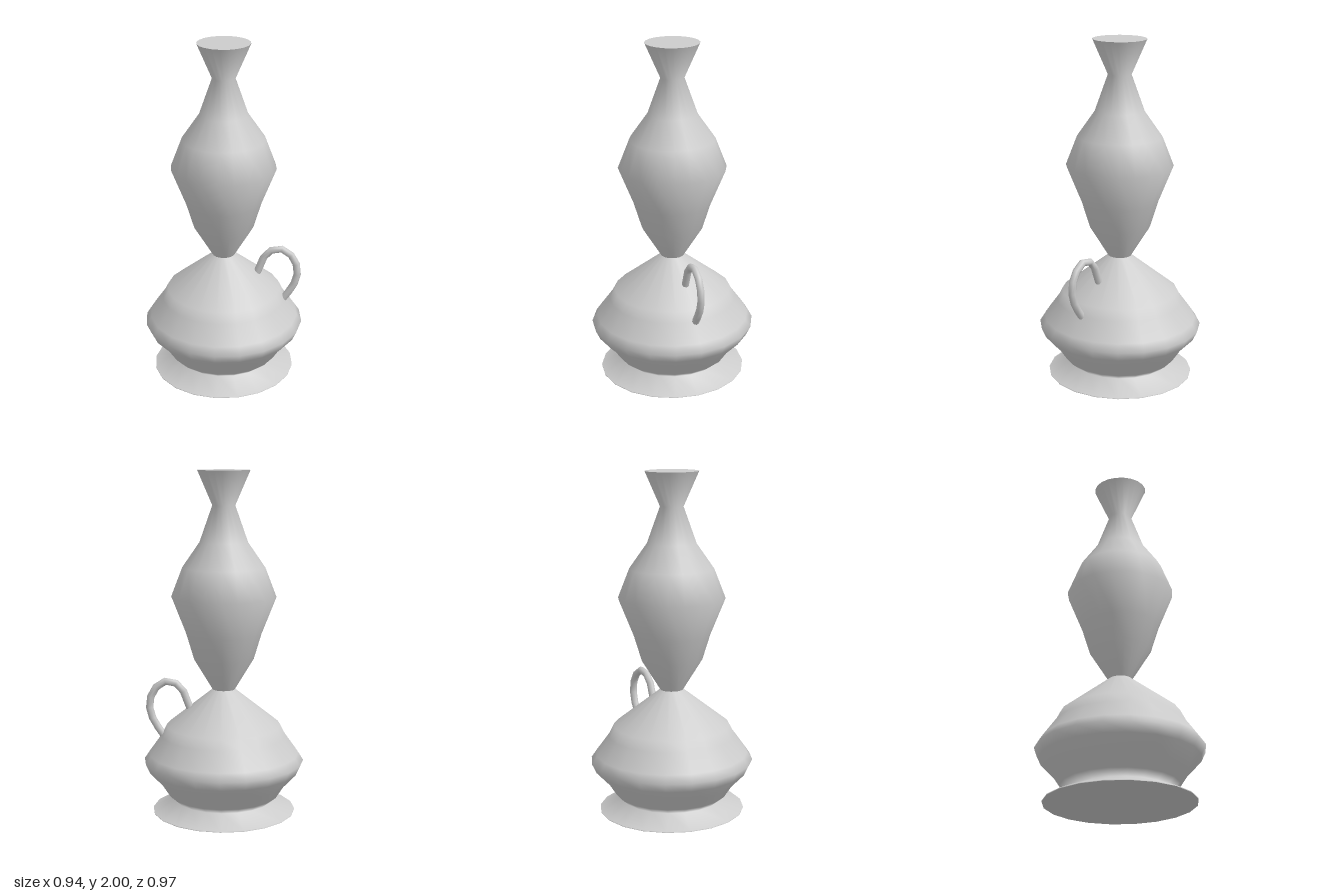
import * as THREE from 'three';

const SIDES = 20;
const DEPTH = 1.03; // slightly oval in plan

export function createModel() {
  const group = new THREE.Group();
  const material = new THREE.MeshStandardMaterial({ color: 0xcccccc });
  const add = (name, geometry) => {
    const mesh = new THREE.Mesh(geometry, material);
    mesh.name = name;
    group.add(mesh);
    return mesh;
  };
  const turned = (name, profile) => {
    const points = profile.map(([r, y]) => new THREE.Vector2(r, y));
    add(name, new THREE.LatheGeometry(points, SIDES)).scale.z = DEPTH;
  };

  // Flared foot and bulging base, up to the pinched waist
  turned('base', [
    [0.42, 0], [0.42, 0.005], [0.285, 0.065], [0.325, 0.10], [0.37, 0.17],
    [0.445, 0.25], [0.47, 0.305], [0.44, 0.35], [0.365, 0.455], [0.335, 0.515], [0.066, 0.73],
  ]);

  // Upper body with its narrow neck and flared mouth
  turned('upperBody', [
    [0.066, 0.73], [0.175, 0.91], [0.22, 1.06], [0.305, 1.275],
    [0.24, 1.445], [0.14, 1.59], [0.066, 1.80], [0.152, 2.0],
  ]);

  // Flat discs closing the mouth and the underside
  const disc = (name, radius, y, tilt) => {
    const geometry = new THREE.CircleGeometry(radius, SIDES).rotateX(tilt);
    const mesh = add(name, geometry);
    mesh.position.y = y;
    mesh.scale.z = DEPTH;
  };
  disc('topCap', 0.152, 2.0, -Math.PI / 2);
  disc('bottomCap', 0.42, 0, Math.PI / 2);

  // Looped finger handle on the left shoulder
  const path = new THREE.CatmullRomCurve3([
    [0.19, 0.59], [0.215, 0.655], [0.255, 0.742], [0.33, 0.775], [0.40, 0.735],
    [0.438, 0.645], [0.42, 0.55], [0.35, 0.44],
  ].map(([x, y]) => new THREE.Vector3(x, y, -0.003)));
  add('handle', new THREE.TubeGeometry(path, 10, 0.022, 8));

  return group;
}
